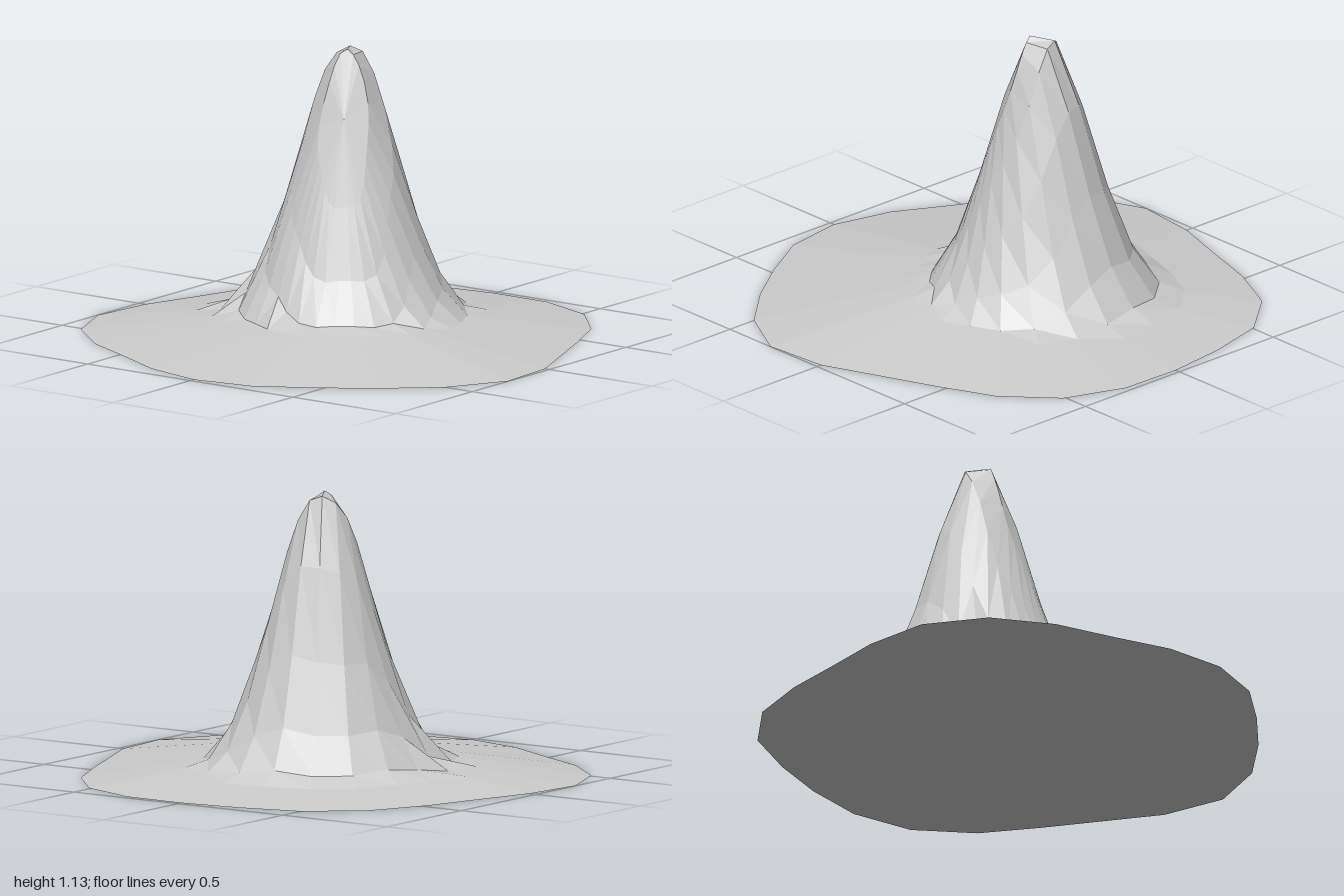
import * as THREE from 'three';

// Outline radius every 15 degrees, counter-clockwise from +x seen from above
const OUTLINE = [
  0.98, 0.98, 1.017, 1.005, 0.95, 0.925, 0.97, 1.035,
  1.035, 0.98, 0.93, 0.953, 0.98, 0.973, 0.942, 0.955,
  1.005, 1.035, 0.98, 0.915, 0.917, 0.975, 1.02, 1.01,
];
const SECTORS = OUTLINE.length;
const RINGS = 10;
const PEAK = { x: 0.13, z: -0.075, height: 1.16, spread: 0.077 };

// Steep bell-shaped peak rising out of a gently sloping skirt
function heightAt(x, z, t) {
  const d2 = (x - PEAK.x) ** 2 + (z - PEAK.z) ** 2;
  const bell = PEAK.height * Math.exp(-d2 / PEAK.spread);
  return t === 1 ? 0 : Math.max(bell, 0.135 * (1 - t));
}

// Point on the outline scaled by t toward the centre
function rimPoint(sector, t) {
  const a = (sector / SECTORS) * Math.PI * 2;
  const r = OUTLINE[sector % SECTORS] * t;
  return [Math.cos(a) * r, -Math.sin(a) * r];
}

function makeMesh(name, positions, index, material) {
  const geometry = new THREE.BufferGeometry();
  geometry.setAttribute('position', new THREE.Float32BufferAttribute(positions, 3));
  geometry.setIndex(index);
  geometry.computeVertexNormals();
  const mesh = new THREE.Mesh(geometry, material);
  mesh.name = name;
  return mesh;
}

export function createModel() {
  const group = new THREE.Group();
  group.name = 'hill';
  const material = new THREE.MeshStandardMaterial({ color: 0xcccccc, flatShading: true });

  // Slope: concentric rings around a centre vertex
  const slope = [0, heightAt(0, 0, 0), 0];
  const slopeIndex = [];
  const id = (ring, s) => (ring === 0 ? 0 : 1 + (ring - 1) * SECTORS + (s % SECTORS));
  for (let ring = 1; ring <= RINGS; ring++) {
    const t = ring / RINGS;
    for (let s = 0; s < SECTORS; s++) {
      const [x, z] = rimPoint(s, t);
      slope.push(x, heightAt(x, z, t), z);
      const a = id(ring - 1, s), b = id(ring, s), c = id(ring, s + 1), d = id(ring - 1, s + 1);
      slopeIndex.push(a, b, c);
      if (ring > 1) slopeIndex.push(a, c, d);
    }
  }
  group.add(makeMesh('slope', slope, slopeIndex, material));

  // Flat underside
  const base = [0, 0, 0];
  const baseIndex = [];
  for (let s = 0; s < SECTORS; s++) {
    const [x, z] = rimPoint(s, 1);
    base.push(x, 0, z);
    baseIndex.push(0, id(1, s + 1), id(1, s));
  }
  group.add(makeMesh('base', base, baseIndex, material));

  return group;
}
